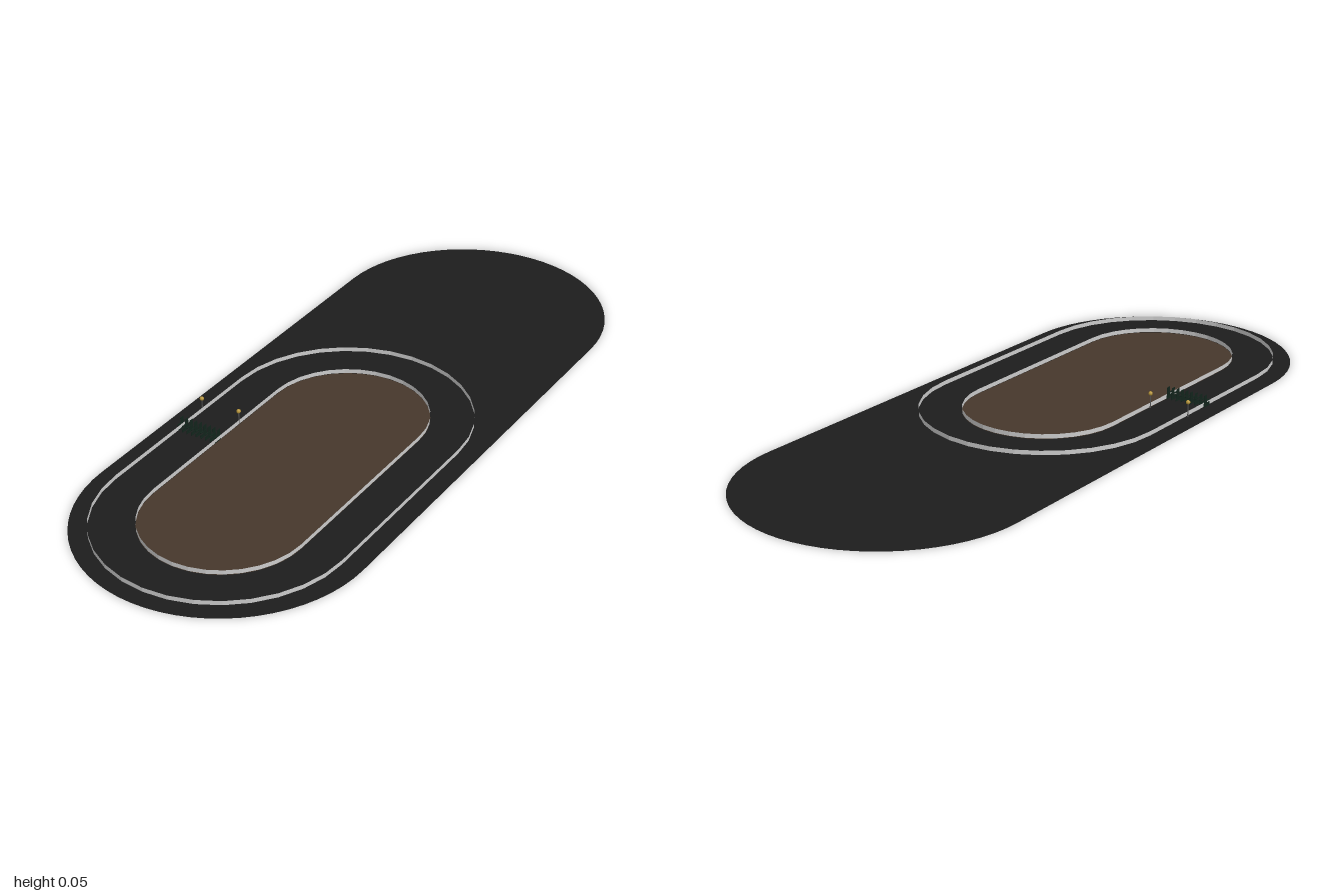
import * as THREE from 'three';

const mat = (color) => new THREE.MeshStandardMaterial({ color, side: THREE.DoubleSide });

// Outline of two straights joined by half circles, as [x, z] points
function oval(radius, straight, centreZ, segments) {
  const points = [];
  for (const end of [0, 1]) {
    for (let i = 0; i <= segments; i++) {
      const a = Math.PI * (end + i / segments);
      const z = Math.sin(a) * radius + (end ? -straight : straight);
      points.push(new THREE.Vector2(Math.cos(a) * radius, z + centreZ));
    }
  }
  return points;
}

// Flat sheet, facing up
function sheet(name, points, y, material) {
  const shape = new THREE.Shape(points.map((p) => new THREE.Vector2(p.x, -p.y)));
  const geometry = new THREE.ShapeGeometry(shape);
  geometry.rotateX(-Math.PI / 2);
  const mesh = new THREE.Mesh(geometry, material);
  mesh.name = name;
  mesh.position.y = y;
  return mesh;
}

// Thin upright band following a closed outline
function band(name, points, bottom, top, material) {
  const positions = [];
  points.forEach((p, i) => {
    const q = points[(i + 1) % points.length];
    positions.push(
      p.x, bottom, p.y, p.x, top, p.y, q.x, top, q.y,
      p.x, bottom, p.y, q.x, top, q.y, q.x, bottom, q.y,
    );
  });
  const geometry = new THREE.BufferGeometry();
  geometry.setAttribute('position', new THREE.Float32BufferAttribute(positions, 3));
  geometry.computeVertexNormals();
  const mesh = new THREE.Mesh(geometry, material);
  mesh.name = name;
  return mesh;
}

function box(name, size, position, material) {
  const mesh = new THREE.Mesh(new THREE.BoxGeometry(...size), material);
  mesh.name = name;
  mesh.position.set(...position);
  return mesh;
}

export function createModel() {
  const model = new THREE.Group();
  model.name = 'racecourse';
  const groundMat = mat(0x1d1d1d);
  const fieldMat = mat(0x46372b);
  const railMat = mat(0xcccccc);
  const gateMat = mat(0x12241c);
  const poleMat = mat(0x555555);
  const ballMat = mat(0xb8963a);

  // Ground and infield
  const fieldZ = 0.335;
  model.add(sheet('ground', oval(0.393, 0.607, 0, 32), 0, groundMat));
  model.add(sheet('infield', oval(0.222, 0.28, fieldZ, 24), 0.002, fieldMat));

  // Rails
  model.add(band('innerRail', oval(0.222, 0.28, fieldZ, 16), 0.003, 0.015, railMat));
  model.add(band('outerRail', oval(0.34, 0.28, fieldZ, 16), 0.003, 0.015, railMat));

  // Starting gate: a row of thin stall dividers across the track
  const gate = new THREE.Group();
  gate.name = 'startingGate';
  for (let i = 0; i < 9; i++) {
    const x = -0.341 + i * 0.0147;
    gate.add(box('stallDivider', [0.0008, 0.024, 0.014], [x, 0.023, 0.329], gateMat));
    gate.add(box('stallBase', [0.0008, 0.011, 0.03], [x, 0.0065, 0.335], gateMat));
    for (const y of [0.003, 0.018]) {
      gate.add(box('stallBar', [0.003, 0.003, 0.026], [x, y, 0.335], gateMat));
    }
  }
  model.add(gate);

  // Finish posts with a ball on top
  for (const x of [-0.342, -0.223]) {
    const post = new THREE.Group();
    post.name = 'finishPost';
    post.position.set(x, 0, 0.237);
    const pole = new THREE.Mesh(new THREE.CylinderGeometry(0.0015, 0.0015, 0.04, 8), poleMat);
    pole.name = 'pole';
    pole.position.y = 0.02;
    const ball = new THREE.Mesh(new THREE.SphereGeometry(0.006, 12, 8), ballMat);
    ball.name = 'ball';
    ball.position.y = 0.042;
    post.add(pole, ball);
    model.add(post);
  }
  return model;
}
